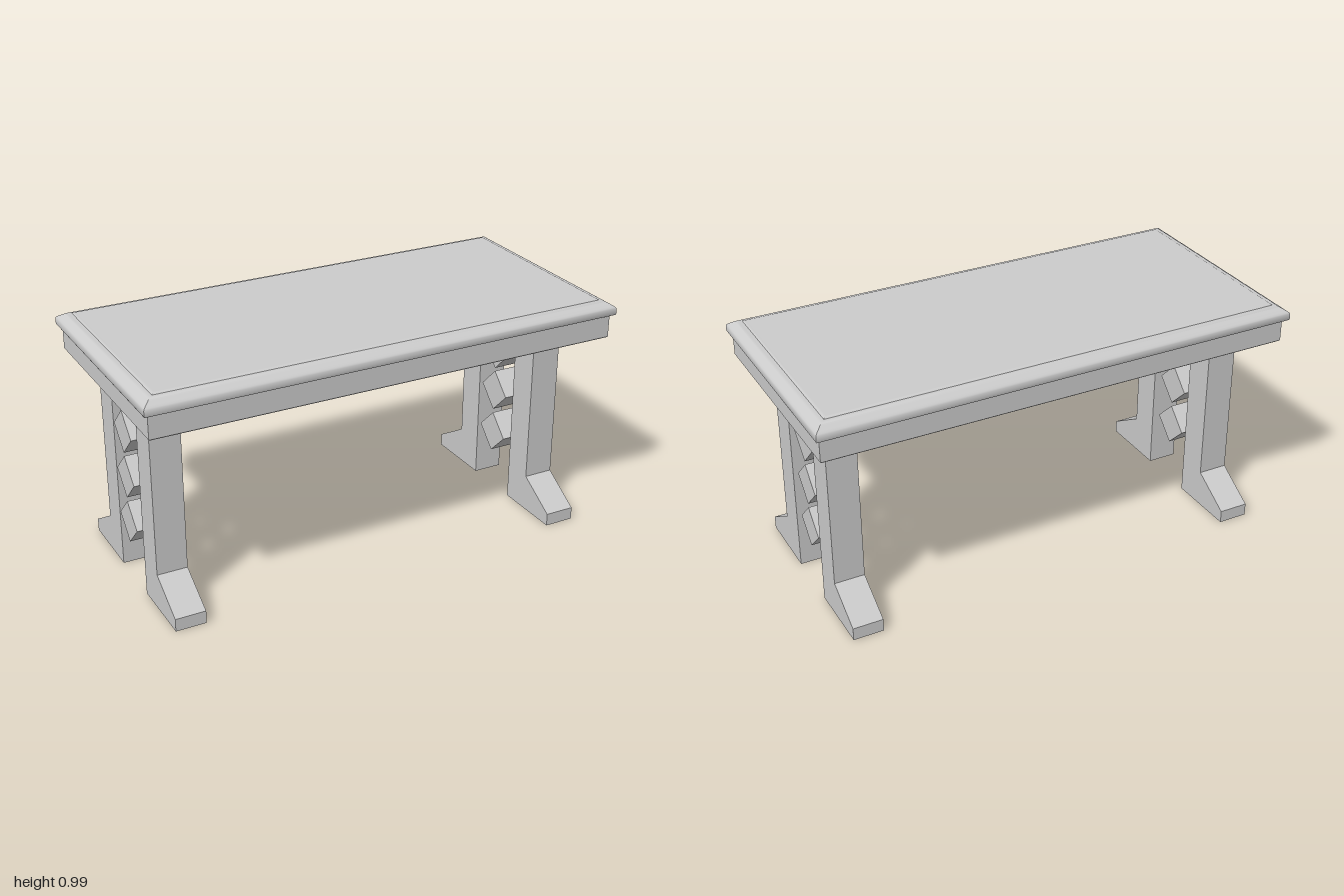
import * as THREE from 'three';
import { toCreasedNormals } from 'three/addons/utils/BufferGeometryUtils.js';

const material = new THREE.MeshStandardMaterial({ color: 0xcccccc });

function addMesh(parent, name, geometry) {
  const mesh = new THREE.Mesh(geometry, material);
  mesh.name = name;
  parent.add(mesh);
  return mesh;
}

// Closed solid of stacked rectangles; each level is [halfX, halfZ, y], bottom to top
function stackedSlab(levels) {
  const positions = [];
  const index = [];
  for (const [x, z, y] of levels) {
    positions.push(-x, y, z, x, y, z, x, y, -z, -x, y, -z);
  }
  for (let l = 0; l < levels.length - 1; l++) {
    for (let i = 0; i < 4; i++) {
      const a = l * 4 + i;
      const b = l * 4 + ((i + 1) % 4);
      index.push(a, b, b + 4, a, b + 4, a + 4);
    }
  }
  const t = (levels.length - 1) * 4;
  index.push(0, 2, 1, 0, 3, 2, t, t + 1, t + 2, t, t + 2, t + 3);
  const geometry = new THREE.BufferGeometry();
  geometry.setAttribute('position', new THREE.Float32BufferAttribute(positions, 3));
  geometry.setIndex(index);
  return toCreasedNormals(geometry, 0.7);
}

// Moulded edge given as [inset, y]
function mouldedSlab(halfX, halfZ, edge) {
  return stackedSlab(edge.map(([inset, y]) => [halfX - inset, halfZ - inset, y]));
}

// Leg side outline: foot at the bottom, bracket at the top
const LEG_OUTLINE = [
  [0.127, 0], [0.424, 0], [0.424, 0.053], [0.256, 0.154],
  [0.256, 0.762], [0.408, 0.83], [0.127, 0.83],
];
const LEG_WIDTH = 0.125;
const DIAMOND_SIDE = 0.127;

function createLegGeometry() {
  const shape = new THREE.Shape(LEG_OUTLINE.map(([z, y]) => new THREE.Vector2(z, y)));
  const geometry = new THREE.ExtrudeGeometry(shape, { depth: LEG_WIDTH, bevelEnabled: false });
  geometry.translate(0, 0, -LEG_WIDTH / 2);
  geometry.rotateY(-Math.PI / 2); // outline runs along +z
  return geometry;
}

export function createModel() {
  const model = new THREE.Group();
  model.name = 'table';

  // Top with rounded rim, sloping edge and slightly raised panel
  addMesh(model, 'tableTop', mouldedSlab(1, 0.475, [
    [0.006, 0.928], [0.002, 0.93], [0, 0.934], [0, 0.957], [0.003, 0.962], [0.009, 0.967],
    [0.031, 0.981], [0.037, 0.984], [0.044, 0.985], [0.052, 0.985],
    [0.054, 0.988], [0.059, 0.99], [0.066, 0.99],
  ]));

  // Solid apron under the top
  const apron = addMesh(model, 'apron', mouldedSlab(0.982, 0.454, [
    [0.004, 0.83], [0, 0.834], [0, 0.93],
  ]));
  apron.position.z = 0.003;

  // Two end frames, each with a mirrored pair of legs and a column of diamonds
  const legGeometry = createLegGeometry();
  const diamondGeometry = new THREE.BoxGeometry(DIAMOND_SIDE, DIAMOND_SIDE, DIAMOND_SIDE);
  for (const [side, x] of [['right', -0.848], ['left', 0.832]]) {
    const frame = new THREE.Group();
    frame.name = `${side}EndFrame`;
    frame.position.x = x;
    model.add(frame);

    addMesh(frame, `${side}FrontLeg`, legGeometry);
    addMesh(frame, `${side}BackLeg`, legGeometry).rotation.y = Math.PI;

    [0.26, 0.457, 0.651].forEach((y, i) => {
      const diamond = addMesh(frame, `${side}Diamond${i + 1}`, diamondGeometry);
      diamond.position.set(-0.009, y, 0);
      diamond.rotation.x = Math.PI / 4;
    });
  }
  return model;
}
